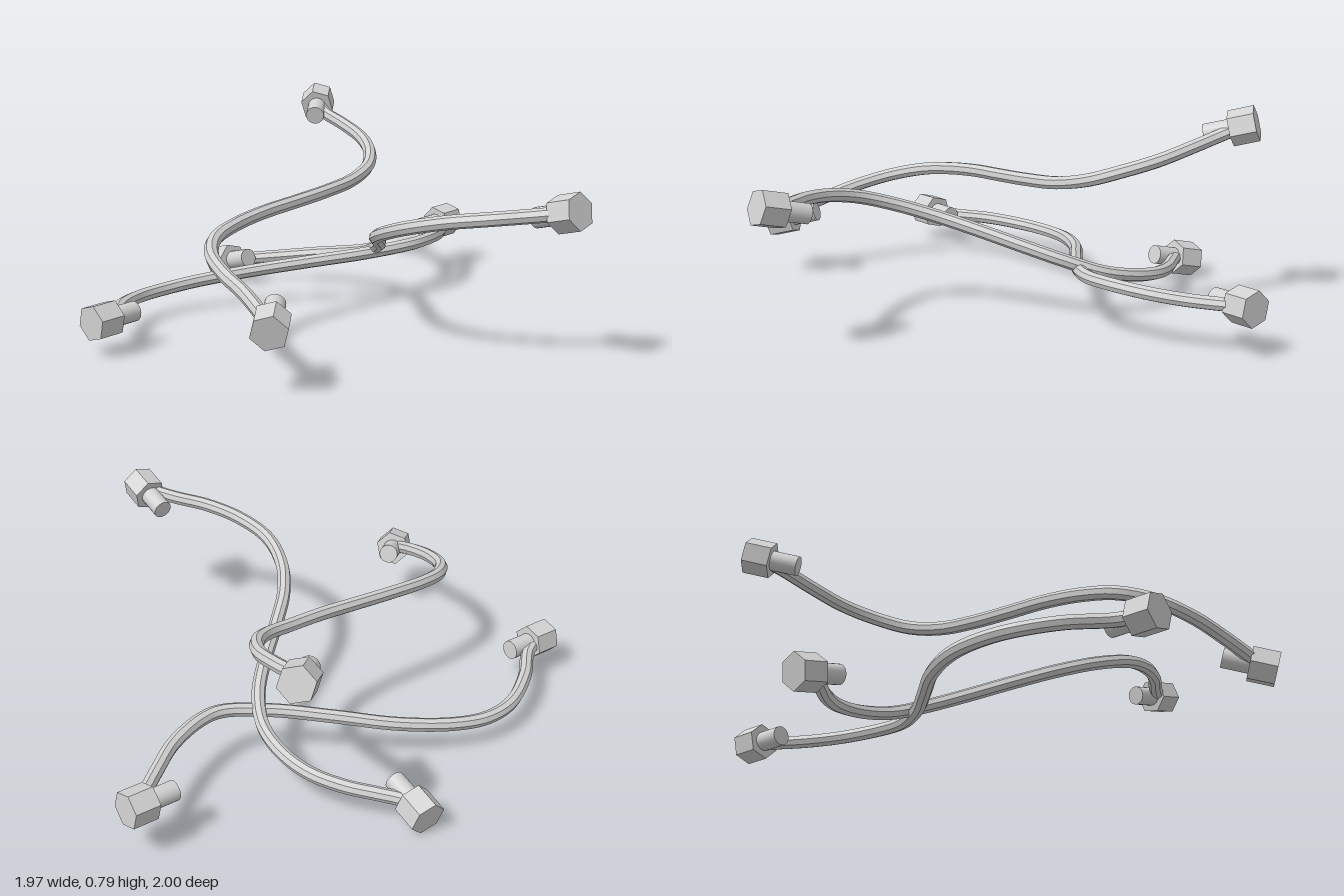
import * as THREE from 'three';

const steel = new THREE.MeshStandardMaterial({ color: 0xd2d2d2 });
steel.name = 'light grey steel';

// Each hose runs from one nut centre to the other
const HOSES = [
  { name: 'lowHose', points: [
    [-0.387, 0.125, 0.948], [-0.44, 0.12, 0.85], [-0.55, 0.112, 0.73], [-0.64, 0.10, 0.575],
    [-0.66, 0.10, 0.44], [-0.63, 0.112, 0.30], [-0.535, 0.135, 0.115], [-0.39, 0.165, -0.075],
    [-0.26, 0.19, -0.25], [-0.18, 0.21, -0.42], [-0.185, 0.212, -0.515], [-0.245, 0.205, -0.67],
    [-0.33, 0.195, -0.79], [-0.458, 0.19, -0.948]] },
  { name: 'crossHose', points: [
    [-0.918, 0.077, -0.1], [-0.86, 0.09, -0.12], [-0.788, 0.10, -0.18], [-0.693, 0.112, -0.26],
    [-0.577, 0.13, -0.325], [-0.444, 0.153, -0.347], [-0.312, 0.185, -0.33], [-0.196, 0.23, -0.267],
    [-0.085, 0.278, -0.16], [0.032, 0.33, -0.024], [0.148, 0.378, 0.098], [0.27, 0.423, 0.177],
    [0.413, 0.468, 0.209], [0.56, 0.503, 0.177], [0.693, 0.524, 0.114], [0.80, 0.538, 0.034],
    [0.918, 0.556, -0.043]] },
  { name: 'highHose', points: [
    [-0.81, 0.717, -0.537], [-0.735, 0.685, -0.50], [-0.603, 0.65, -0.48], [-0.47, 0.613, -0.45],
    [-0.355, 0.575, -0.383], [-0.275, 0.535, -0.288], [-0.233, 0.503, -0.156], [-0.212, 0.485, 0.003],
    [-0.206, 0.47, 0.16], [-0.20, 0.453, 0.347], [-0.18, 0.432, 0.505], [-0.138, 0.41, 0.627],
    [-0.048, 0.38, 0.722], [0.085, 0.343, 0.78], [0.217, 0.305, 0.807], [0.39, 0.235, 0.85]] },
];

function flat(geometry) {
  const g = geometry.toNonIndexed();
  g.computeVertexNormals();
  return g;
}

function add(parent, name, geometry) {
  const mesh = new THREE.Mesh(geometry, steel);
  mesh.name = name;
  parent.add(mesh);
  return mesh;
}

// Hexagonal nut with a round stub pointing towards the far end of the hose
function makeFitting(name, position, target) {
  const fitting = new THREE.Group();
  fitting.name = name;
  add(fitting, 'hexNut', flat(new THREE.CylinderGeometry(0.068, 0.068, 0.1, 6).rotateX(Math.PI / 2)))
    .rotation.z = 0.25;
  add(fitting, 'stub', new THREE.CylinderGeometry(0.037, 0.037, 0.15, 20).rotateX(Math.PI / 2))
    .position.z = 0.075;
  fitting.position.copy(position);
  fitting.lookAt(target);
  return fitting;
}

export function createModel() {
  const model = new THREE.Group();
  model.name = 'hoseSet';
  for (const { name, points } of HOSES) {
    const hose = new THREE.Group();
    hose.name = name;
    const path = points.map((p) => new THREE.Vector3(...p));
    const curve = new THREE.CatmullRomCurve3(path);
    // Eight-sided pipe
    add(hose, 'pipe', flat(new THREE.TubeGeometry(curve, 90, 0.026, 8)));
    const start = path[0], end = path[path.length - 1];
    hose.add(makeFitting('startFitting', start, end), makeFitting('endFitting', end, start));
    model.add(hose);
  }
  return model;
}
